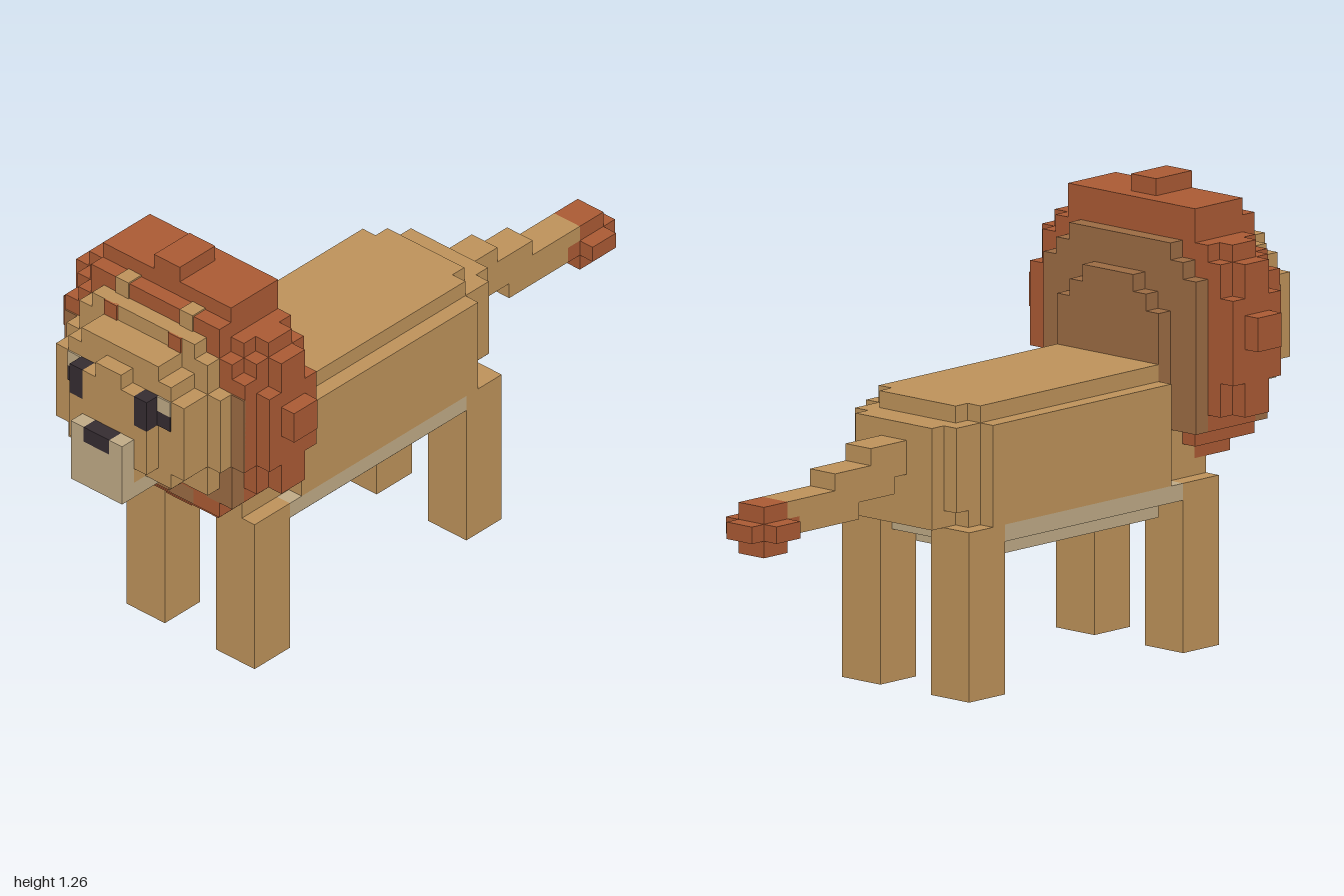
import * as THREE from 'three';
import { mergeGeometries } from 'three/addons/utils/BufferGeometryUtils.js';

const U = 2 / 43; // one block

const material = (name, color) => {
  const m = new THREE.MeshStandardMaterial({ color });
  m.name = name;
  return m;
};

// Block-unit box: x range, y range, k range (k counts back from the nose)
function box(x0, x1, y0, y1, k0, k1) {
  const g = new THREE.BoxGeometry((x1 - x0) * U, (y1 - y0) * U, (k1 - k0) * U);
  g.translate((x0 + x1) / 2 * U, (y0 + y1) / 2 * U, (21.5 - (k0 + k1) / 2) * U);
  return g;
}
// The same box on both sides of the body
const pair = (x0, x1, ...r) => [box(x0, x1, ...r), box(-x1, -x0, ...r)];
// A slice made of centred slabs, each [half width, bottom, top]
const layer = (k0, k1, slabs) => slabs.map(([w, y0, y1]) => box(-w, w, y0, y1, k0, k1));

export function createModel() {
  const tan = material('tan fur', 0xbd925a);
  const rust = material('rust mane', 0xaa5a34);
  const brown = material('brown mane', 0x9b6b43);
  const cream = material('cream fur', 0xbfaa86);
  const dark = material('dark', 0x352c31);

  const model = new THREE.Group();
  model.name = 'lion';
  const add = (name, mat, boxes) => {
    const mesh = new THREE.Mesh(mergeGeometries(boxes), mat);
    mesh.name = name;
    model.add(mesh);
  };

  // Legs
  for (const [side, x] of [['Left', 2], ['Right', -5]]) {
    add('front' + side + 'Leg', tan, [box(x, x + 3, 0, 10, 8, 11)]);
    add('back' + side + 'Leg', tan, [box(x, x + 3, 0, 10, 26, 29)]);
  }

  // Body, stepped at the back
  add('body', tan, [
    ...layer(8, 9, [[4, 10, 11]]),
    ...layer(9, 12, [[4, 10, 14]]),
    ...layer(12, 27, [[5, 10, 16], [4, 10, 17]]),
    ...layer(27, 28, [[4, 10, 16], [3, 10, 17]]),
    ...layer(28, 29, [[4, 11, 16]]),
    ...layer(28, 30, [[3, 10, 16]]),
  ]);
  add('belly', cream, [
    ...layer(11, 26, [[5, 9, 10], [2, 8, 10]]),
    ...layer(9, 28, [[2, 9, 10]]),
    ...layer(12, 25, [[4, 8, 9]]),
  ]);

  // Tail, stepping down to the tuft
  add('tail', tan, [
    box(-1, 1, 13, 15, 30, 31), box(-1, 1, 12, 15, 31, 33),
    box(-1, 1, 12, 14, 33, 34), box(-1, 1, 11, 14, 34, 36),
    box(-1, 1, 11, 13, 36, 39), box(-1, 1, 12, 13, 39, 40),
  ]);
  add('tailTuft', rust, [
    box(-1, 1, 11, 12, 39, 43), box(-1, 1, 10, 13, 40, 42), box(-2, 2, 11, 12, 40, 42),
  ]);

  // Head, growing wider towards the mane
  add('head', tan, [
    ...layer(1, 2, [[2, 15, 21], [1, 15, 22], [3, 16, 19]]),
    ...layer(2, 4, [[5, 16, 21], [4, 15, 22], [3, 15, 23]]),
    ...layer(4, 5, [[6, 16, 21], [5, 14, 23], [4, 14, 24]]),
  ]);
  add('ears', tan, pair(2, 3, 24, 25.1, 4.9, 6));
  add('innerEars', rust, pair(2, 3, 23, 24, 3.9, 4.1));
  add('snout', cream, [
    box(-2, 2, 14, 17, 0, 1), ...pair(1, 2, 17, 18, 0, 1), box(-2, 2, 14, 15, 1, 4),
  ]);
  add('nose', dark, [box(-1, 1, 17, 18, 0, 1)]);
  add('eyes', dark, [...pair(2, 3, 19, 21, 1, 2), ...pair(3, 4, 19, 20, 1.9, 2.05)]);
  add('eyeWhites', cream, pair(3, 4, 20, 21, 1.9, 2.05));

  // Mane, a stepped ring of slices
  add('mane', rust, [
    ...layer(5, 6, [[7, 16, 22], [6, 16, 23], [5, 16, 25], [1, 12, 13]]),
    ...pair(2, 4, 13, 14, 5, 6),
    ...pair(3, 5, 12, 13, 5, 6),
    ...layer(6, 7, [[8, 16, 21], [7, 14, 23], [6, 13, 24], [5, 12, 26], [4, 11, 25], [1, 11, 27]]),
    ...layer(7, 9, [[9, 18, 20], [8, 14, 23], [7, 14, 24], [6, 13, 24], [5, 12, 26], [4, 11, 26], [1, 11, 27]]),
    ...layer(7, 8, [[1, 10, 11]]),
    ...layer(9, 10, [[8, 16, 21], [7, 14, 23], [6, 13, 24], [5, 12, 26]]),
  ]);
  add('innerMane', brown, [
    ...layer(4, 5, [[2, 13, 14]]),
    ...layer(5, 6, [[6, 14, 16], [2, 13, 14]]),
    ...pair(4, 6, 13, 14, 5, 6),
    ...pair(1, 3, 12, 13, 5, 6),
    ...pair(6, 7, 16, 21, 4.9, 5.05),
  ]);
  add('backMane', brown, [
    ...layer(10, 11, [[6, 13, 22], [5, 13, 23], [4, 12, 24]]),
    ...layer(11, 12, [[4, 14, 20], [3, 14, 21], [2, 14, 22]]),
  ]);

  return model;
}
